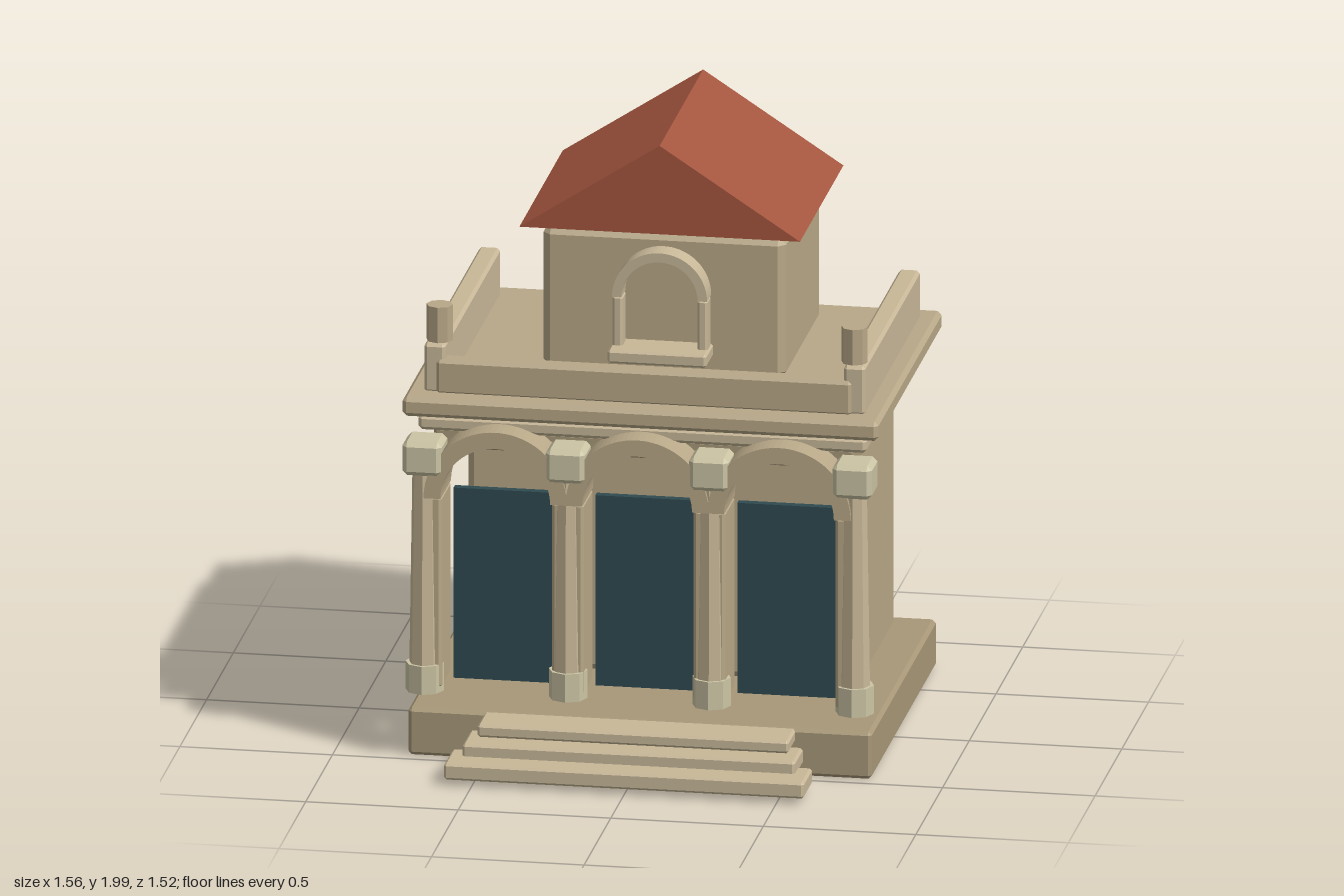
import * as THREE from 'three';
import { ConvexGeometry } from 'three/addons/geometries/ConvexGeometry.js';

const mat = (color) => new THREE.MeshStandardMaterial({ color, flatShading: true, side: THREE.DoubleSide });
const wall = mat(0xb8a888), stone = mat(0xa89878), trim = mat(0xc8b898);
const capStone = mat(0xcbc4a4), roofTile = mat(0xa5563f), doorPaint = mat(0x2f4a50);

// Box with chamfered edges, given by its extents on each axis
function chamferBox(x0, x1, y0, y1, z0, z1, c) {
  const half = [(x1 - x0) / 2, (y1 - y0) / 2, (z1 - z0) / 2];
  const points = [];
  for (const sx of [-1, 1]) for (const sy of [-1, 1]) for (const sz of [-1, 1])
    for (let axis = 0; axis < 3; axis++) {
      const p = half.map((h, i) => (i === axis ? h : h - c));
      points.push(new THREE.Vector3(sx * p[0], sy * p[1], sz * p[2]));
    }
  return new ConvexGeometry(points).translate((x0 + x1) / 2, (y0 + y1) / 2, (z0 + z1) / 2);
}

// Half-ring arch springing from (x, y), running from z0 to z1
function archGeometry(x, y, outer, inner, z0, z1) {
  const s = new THREE.Shape();
  s.absarc(0, 0, outer, 0, Math.PI, false);
  s.absarc(0, 0, inner, Math.PI, 0, true);
  s.closePath();
  return new THREE.ExtrudeGeometry(s, { depth: z1 - z0, bevelEnabled: false, curveSegments: 20 }).translate(x, y, z0);
}

// Upright eight-sided cylinder from y0 to y1
function post(x, z, y0, y1, rTop, rBottom) {
  return new THREE.CylinderGeometry(rTop, rBottom, y1 - y0, 8).translate(x, (y0 + y1) / 2, z);
}

export function createModel() {
  const model = new THREE.Group();
  const add = (name, geometry, material, parent = model) => {
    const mesh = new THREE.Mesh(geometry, material);
    mesh.name = name;
    parent.add(mesh);
    return mesh;
  };
  const group = (name) => {
    const g = new THREE.Group();
    g.name = name;
    model.add(g);
    return g;
  };

  // Plinth and front steps
  add('plinth', chamferBox(-0.76, 0.76, 0.01, 0.17, -0.76, 0.46, 0.012), stone);
  const steps = group('frontSteps');
  [[0.59, 0.03, 0.085, 0.595, 0.76], [0.545, 0.07, 0.125, 0.51, 0.67], [0.51, 0.125, 0.167, 0.42, 0.59]]
    .forEach(([w, y0, y1, z0, z1]) => add('step', chamferBox(-w, w, y0, y1, z0, z1, 0.008), trim, steps));

  // Main hall
  add('mainHall', chamferBox(-0.645, 0.645, 0.18, 1.06, -0.63, 0, 0.022), wall);

  // Stacked cornice
  const cornice = group('cornice');
  add('lowerCornice', chamferBox(-0.69, 0.69, 1.03, 1.1, -0.67, 0.375, 0.01), stone, cornice);
  add('middleCornice', chamferBox(-0.735, 0.735, 1.1, 1.15, -0.715, 0.415, 0.012), trim, cornice);
  add('upperCornice', chamferBox(-0.78, 0.78, 1.155, 1.22, -0.755, 0.455, 0.014), wall, cornice);

  // Parapet walls with corner posts
  const parapet = group('parapet');
  add('frontParapet', chamferBox(-0.68, 0.68, 1.215, 1.33, 0.315, 0.385, 0.01), wall, parapet);
  for (const s of [-1, 1]) {
    const x = s * 0.688;
    add('sideParapet', chamferBox(x - 0.035, x + 0.035, 1.215, 1.38, -0.67, 0.372, 0.01), trim, parapet);
    add('cornerPost', post(s * 0.68, 0.318, 1.38, 1.5, 0.043, 0.043), wall, parapet);
  }

  // Arcade: arches on paired piers, with door panels behind
  const arcade = group('arcade');
  for (const x of [-0.465, 0, 0.465]) {
    add('arch', archGeometry(x, 0.9, 0.235, 0.18, 0.305, 0.508), wall, arcade);
    for (const s of [-1, 1]) {
      const px = x + s * 0.215;
      add('pier', chamferBox(px - 0.035, px + 0.035, 0.25, 0.9, 0.305, 0.485, 0.01), wall, arcade);
    }
    add('doorPanel', new THREE.BoxGeometry(0.36, 0.645, 0.028).translate(x, 0.5375, 0.245), doorPaint, arcade);
  }

  // Arcade columns
  for (const x of [-0.705, -0.235, 0.235, 0.705]) {
    const column = group('column');
    add('columnBase', post(x, 0.455, 0.235, 0.33, 0.063, 0.063), capStone, column);
    add('columnShaft', post(x, 0.458, 0.32, 0.99, 0.04, 0.05), trim, column);
    add('capital', chamferBox(x - 0.065, x + 0.065, 0.975, 1.09, 0.387, 0.521, 0.016), capStone, column);
  }

  // Upper storey with a framed arch
  add('upperRoom', chamferBox(-0.398, 0.398, 1.2, 1.68, -0.655, 0.01, 0.025), wall);
  const frame = group('upperArchFrame');
  add('frameArch', archGeometry(0, 1.48, 0.156, 0.125, 0.005, 0.088), trim, frame);
  for (const s of [-1, 1])
    add('frameJamb', chamferBox(s * 0.139 - 0.017, s * 0.139 + 0.017, 1.3, 1.482, 0.015, 0.085, 0.008), trim, frame);
  add('frameSill', chamferBox(-0.162, 0.162, 1.27, 1.315, -0.01, 0.14, 0.008), trim, frame);

  // Gable roof
  const gable = new THREE.Shape([[-0.46, 1.7], [0.46, 1.7], [0, 2]].map(([x, y]) => new THREE.Vector2(x, y)));
  add('gableRoof', new THREE.ExtrudeGeometry(gable, { depth: 0.815, bevelEnabled: false }).translate(0, 0, -0.73), roofTile);

  return model;
}
